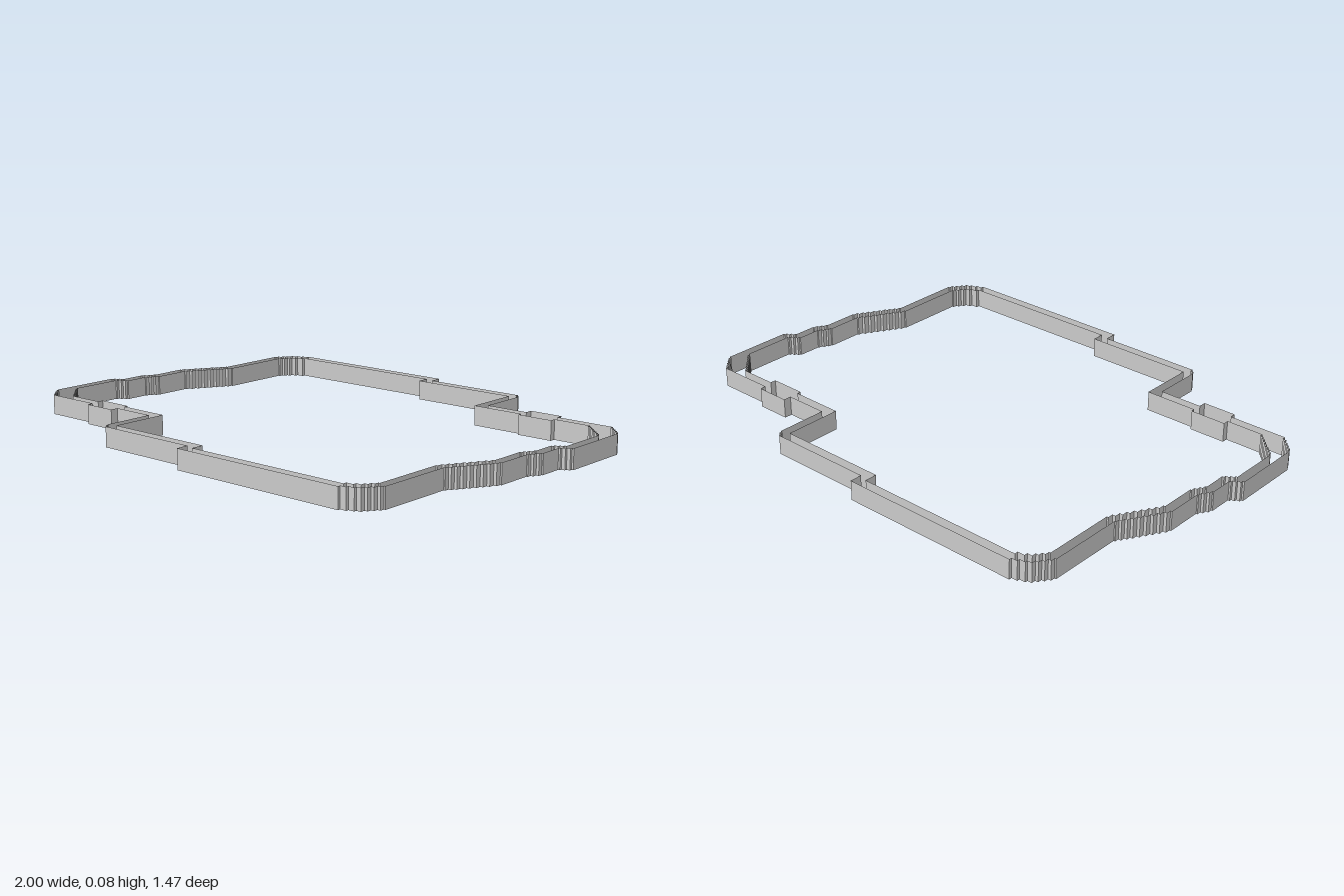
import * as THREE from 'three';

const HEIGHT = 0.075;
const STEP = 0.014;
const material = new THREE.MeshStandardMaterial({ color: 0xcccccc, flatShading: true, side: THREE.DoubleSide });

// Replace each slanted stretch of a path by small square steps
function stepped(path) {
  const result = [path[0]];
  for (let i = 1; i < path.length; i++) {
    const [ax, az] = path[i - 1];
    const [bx, bz] = path[i];
    const dx = bx - ax;
    const dz = bz - az;
    const n = Math.ceil(Math.min(Math.abs(dx), Math.abs(dz)) / STEP);
    for (let k = 1; k <= n; k++) {
      // half a run, the rise, half a run: the steps stay centred on the slant
      const z = az + (dz * k) / n;
      const middle = ax + (dx * (k - 0.5)) / n;
      result.push([middle, az + (dz * (k - 1)) / n], [middle, z], [ax + (dx * k) / n, z]);
    }
    if (n === 0) result.push([bx, bz]);
  }
  return result;
}

// Thin upright ribbon following a path of [x, z] points
function ribbon(name, path) {
  const positions = [];
  for (let i = 0; i < path.length - 1; i++) {
    const [ax, az] = path[i];
    const [bx, bz] = path[i + 1];
    positions.push(ax, 0, az, bx, 0, bz, bx, HEIGHT, bz);
    positions.push(ax, 0, az, bx, HEIGHT, bz, ax, HEIGHT, az);
  }
  const geometry = new THREE.BufferGeometry();
  geometry.setAttribute('position', new THREE.Float32BufferAttribute(positions, 3));
  geometry.computeVertexNormals();
  const mesh = new THREE.Mesh(geometry, material);
  mesh.name = name;
  return mesh;
}

export function createModel() {
  const model = new THREE.Group();
  model.name = 'outlineFrame';

  // Half of the outer wall: front edge, stepped side, then back to the notch
  const outer = [
    [-0.41, 0.47], [-0.41, 0.665], [-0.385, 0.69],
    [0.02, 0.69], [0.02, 0.737],
    [0.71, 0.737], [0.78, 0.705], [0.828, 0.64],
    [0.828, 0.35], [0.86, 0.3], [0.93, 0.18],
    [0.93, 0.04], [0.96, -0.01], [0.96, -0.1], [1, -0.13],
    [1, -0.405], [0.93, -0.477],
    // small outward bump
    [0.71, -0.477], [0.71, -0.5], [0.58, -0.5], [0.58, -0.47],
    [0.41, -0.47],
  ];

  // Half of the inner wall, a little inside the outer one
  const inner = [
    [-0.375, 0.435], [-0.375, 0.655],
    [0.055, 0.655], [0.055, 0.702],
    [0.7, 0.702], [0.755, 0.675], [0.793, 0.625],
    [0.793, 0.345], [0.83, 0.28], [0.895, 0.17],
    [0.895, 0.03], [0.925, -0.02], [0.925, -0.11], [0.965, -0.14],
    [0.965, -0.34], [0.86, -0.442],
    // matching bump on the inside
    [0.72, -0.442], [0.72, -0.42], [0.58, -0.42], [0.58, -0.435],
    [0.375, -0.435],
  ];

  // The second half is the first one turned by half a revolution
  for (const side of ['left', 'right']) {
    const part = new THREE.Group();
    part.name = side + 'Half';
    part.add(ribbon('outerWall', stepped(outer)));
    part.add(ribbon('innerWall', stepped(inner)));
    if (side === 'right') part.rotation.y = Math.PI;
    model.add(part);
  }
  return model;
}
